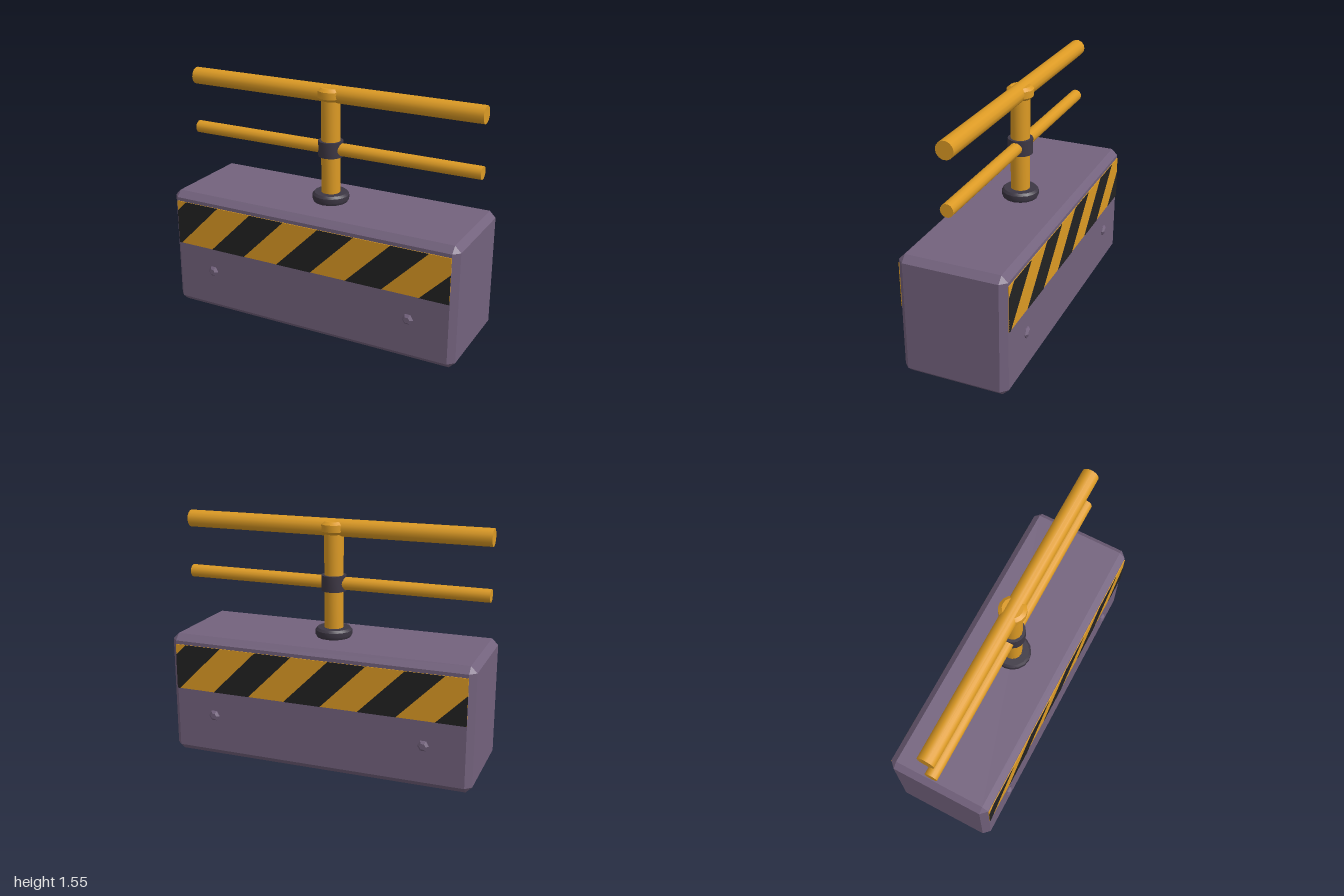
import * as THREE from 'three';
import { toCreasedNormals } from 'three/addons/utils/BufferGeometryUtils.js';
import { ConvexGeometry } from 'three/addons/geometries/ConvexGeometry.js';

const paint = (name, color) => {
  const m = new THREE.MeshStandardMaterial({ color });
  m.name = name;
  return m;
};

export function createModel() {
  const purple = paint('purple body', 0x73627d);
  const yellow = paint('safety yellow', 0xdc9a24);
  const black = paint('stripe black', 0x222222);
  const dark = paint('dark fittings', 0x3d3744);

  const model = new THREE.Group();
  model.name = 'weightedBarrier';

  const add = (name, geometry, material, parent = model) => {
    const mesh = new THREE.Mesh(geometry, material);
    mesh.name = name;
    parent.add(mesh);
    return mesh;
  };
  // Turned part around the y axis, from [radius, y] pairs
  const turned = (profile, sides = 16) => toCreasedNormals(
    new THREE.LatheGeometry(profile.map(([r, y]) => new THREE.Vector2(r, y)), sides), 0.5);

  // Heavy base block with chamfered edges
  const half = [1, 0.4, 0.34], c = 0.04, corners = [];
  for (const x of [-1, 1]) for (const y of [-1, 1]) for (const z of [-1, 1]) {
    for (let face = 0; face < 3; face++) {
      const p = half.map((h, i) => (i === face ? h : h - c));
      corners.push(new THREE.Vector3(p[0] * x, p[1] * y, p[2] * z));
    }
  }
  add('baseBlock', new ConvexGeometry(corners), purple).position.y = 0.4;

  // Mounting flange, post, collar and cap
  add('flange', turned([[0, 0.79], [0.105, 0.79], [0.118, 0.815], [0.118, 0.845], [0.105, 0.86], [0, 0.86]]), dark);
  add('post', turned([[0, 0.8], [0.061, 0.8], [0.061, 1.5], [0, 1.5]]), yellow);
  add('collar', turned([[0, 1.1], [0.08, 1.1], [0.08, 1.2], [0, 1.2]]), dark);
  add('postCap', turned([[0, 1.46], [0.065, 1.46], [0.084, 1.478], [0.084, 1.522], [0.062, 1.54], [0, 1.54]]), yellow);

  // Horizontal rails
  for (const [name, radius, y] of [['upperRail', 0.055, 1.5], ['lowerRail', 0.041, 1.15]]) {
    const rail = add(name, new THREE.CylinderGeometry(radius, radius, 2, 14), yellow);
    rail.rotation.z = Math.PI / 2;
    rail.position.y = y;
  }

  // Warning panel and bolts, repeated on front and back
  const w = 0.96, low = 0.44, high = 0.737, rise = high - low;
  const period = 0.489, width = 0.245;
  for (const [name, turn] of [['frontDetails', 0], ['backDetails', Math.PI]]) {
    const side = new THREE.Group();
    side.name = name;
    side.rotation.y = turn;
    model.add(side);

    const panel = add('warningPanel', new THREE.BoxGeometry(2 * w, rise, 0.005), yellow, side);
    panel.position.set(0, (low + high) / 2, 0.3425);

    // Slanted stripes, trimmed at the panel ends
    for (let k = 0; k < 5; k++) {
      const a = -1.187 + k * period, b = a + width;
      const points = [];
      if (a < -w) points.push([-w, low], [b, low], [b + rise, high], [a + rise, high], [-w, low - w - a]);
      else if (b + rise > w) points.push([a, low], [w, low], [w, low + w - a]);
      else points.push([a, low], [b, low], [b + rise, high], [a + rise, high]);
      const shape = new THREE.Shape(points.map(([x, y]) => new THREE.Vector2(x, y)));
      add('stripe', new THREE.ExtrudeGeometry(shape, { depth: 0.003, bevelEnabled: false }), black, side)
        .position.z = 0.344;
    }

    // Hexagonal bolt heads
    for (const x of [-0.7, 0.7]) {
      const bolt = new THREE.Group();
      bolt.name = 'bolt';
      bolt.position.set(x, 0.28, 0.34);
      bolt.rotation.x = Math.PI / 2;
      side.add(bolt);
      add('boltHead', turned([[0, -0.005], [0.036, -0.005], [0.036, 0.006], [0.02, 0.019], [0, 0.019]], 6), purple, bolt)
        .rotation.y = Math.PI / 6;
    }
  }
  return model;
}
